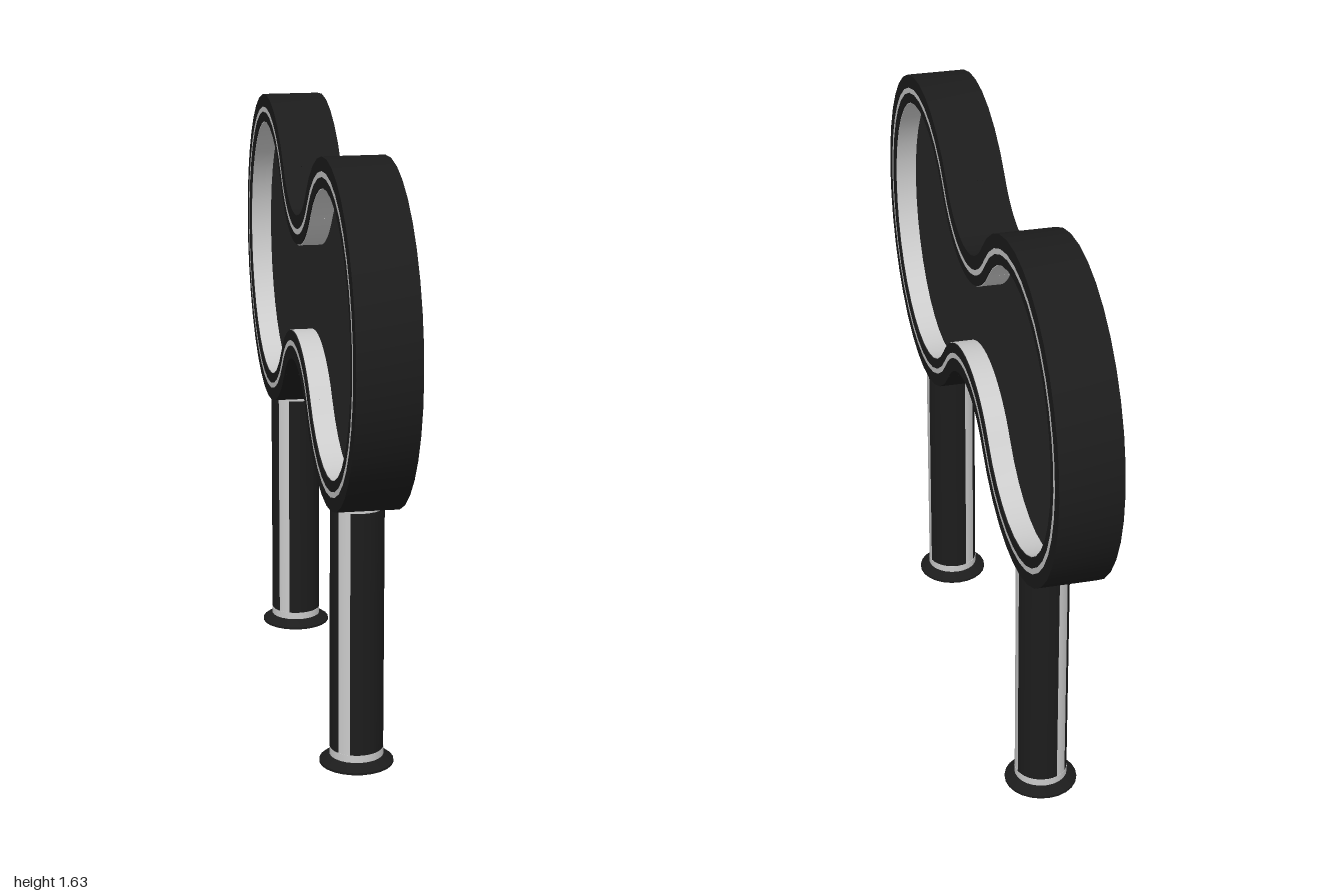
import * as THREE from 'three';
import { toCreasedNormals } from 'three/addons/utils/BufferGeometryUtils.js';

const mat = (color) => new THREE.MeshStandardMaterial({ color });
const black = mat(0x1c1c1c);
const charcoal = mat(0x282828);
const grey = mat(0xcccccc);

const LOBE_Z = 0.545, LOBE_R = 0.455;    // two round ends
const NECK_Y = 0.484, NECK_R = 0.274;    // concave waist arcs
const CENTRE_Y = 1.18, THICK = 0.165;
const LEG_R = 0.072, LEG_Z = 0.55;

// Peanut outline moved inwards by d: four arcs meeting at tangents
function outline(d, Type = THREE.Shape) {
  const a = Math.atan2(NECK_Y, -LOBE_Z), P = Math.PI;
  const s = new Type();
  s.absarc(LOBE_Z, 0, LOBE_R - d, -a, a, false);
  s.absarc(0, NECK_Y, NECK_R + d, a - P, -a, true);
  s.absarc(-LOBE_Z, 0, LOBE_R - d, P - a, P + a, false);
  s.absarc(0, -NECK_Y, NECK_R + d, a, P - a, true);
  return s;
}

// Layer of the sign, optionally hollow, centred on x = 0
function layer(name, material, outer, inner, depth) {
  const shape = outline(outer);
  if (inner) shape.holes.push(outline(inner, THREE.Path));
  const geo = new THREE.ExtrudeGeometry(shape, { depth, bevelEnabled: false, curveSegments: 14 });
  geo.translate(0, 0, -depth / 2);
  geo.rotateY(Math.PI / 2);
  const mesh = new THREE.Mesh(toCreasedNormals(geo, 0.6), material);
  mesh.name = name;
  return mesh;
}

function createSign() {
  const sign = new THREE.Group();
  sign.name = 'sign';
  sign.position.y = CENTRE_Y;
  sign.add(
    layer('frame', black, 0, 0.08, THICK),
    layer('recessLiner', grey, 0.079, 0.082, THICK - 0.006),
    layer('panel', charcoal, 0.08, 0, 0.04)
  );
  // Thin inlaid line on both faces of the frame
  for (const side of [1, -1]) {
    const ring = outline(0.037);
    ring.holes.push(outline(0.052, THREE.Path));
    const trim = new THREE.Mesh(new THREE.ShapeGeometry(ring, 14), grey);
    trim.rotation.y = side * Math.PI / 2;
    trim.position.x = side * (THICK / 2 + 0.001);
    trim.name = 'trimLine';
    sign.add(trim);
  }
  return sign;
}

function createLeg(z) {
  const leg = new THREE.Group();
  leg.name = 'leg';
  leg.position.z = z;
  const add = (name, geo, material, y = 0) => {
    const mesh = new THREE.Mesh(geo, material);
    mesh.name = name;
    mesh.position.y = y;
    leg.add(mesh);
  };

  // Flared foot
  const profile = [[0, 0], [0.1, 0], [0.1, 0.006], [0.08, 0.02], [LEG_R, 0.024]]
    .map(([r, y]) => new THREE.Vector2(r, y));
  add('foot', toCreasedNormals(new THREE.LatheGeometry(profile, 24), 0.5), black);

  // Collars at both ends
  add('lowerCollar', new THREE.CylinderGeometry(0.073, 0.073, 0.022, 24), grey, 0.033);
  add('upperCollar', new THREE.CylinderGeometry(0.074, 0.074, 0.02, 24), grey, 0.73);

  // Shaft made of dark sectors alternating with three light stripes
  const bottom = 0.04, top = 0.725, rad = THREE.MathUtils.degToRad;
  const sector = (name, material, from, to) => add(name,
    new THREE.CylinderGeometry(LEG_R, LEG_R, top - bottom, Math.ceil((to - from) / 12), 1, true,
      rad(from), rad(to - from)), material, (top + bottom) / 2);
  const stripes = [90, 218, 322];
  const half = 14;
  stripes.forEach((angle, i) => {
    const next = i < 2 ? stripes[i + 1] : stripes[0] + 360;
    sector('stripe', grey, angle - half, angle + half);
    sector('shaft', black, angle + half, next - half);
  });
  return leg;
}

export function createModel() {
  const model = new THREE.Group();
  model.name = 'signOnLegs';
  model.add(createSign(), createLeg(LEG_Z), createLeg(-LEG_Z));
  return model;
}
